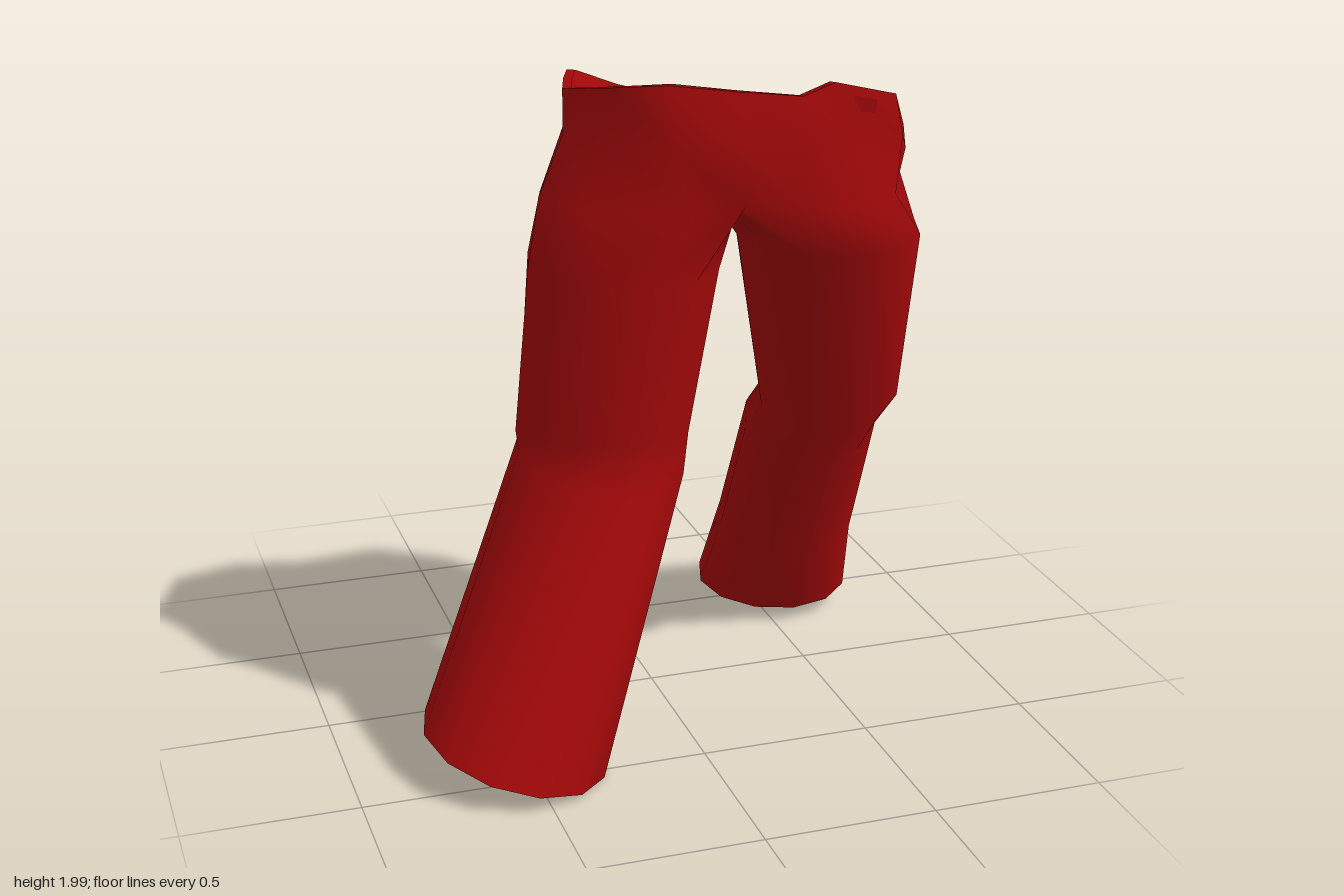
import * as THREE from 'three';
import { mergeVertices } from 'three/addons/utils/BufferGeometryUtils.js';

const red = new THREE.MeshStandardMaterial({ color: 0xa8090a, side: THREE.DoubleSide });
red.name = 'red cloth';

// Twelve-sided leg section; side is +1 for the left leg, -1 for the right.
// outerRise and frontRise tilt it at its outer and front edges;
// skew stretches it along the diagonal where x and z share a sign.
function section(side, [x, y, z], rx, rz, outerRise = 0, frontRise = 0, skew = 0) {
  const ring = [];
  for (let i = 0; i < 12; i++) {
    const a = (i - 4) * Math.PI / 6;
    const c = Math.cos(a), s = -Math.sin(a - side * skew);
    ring.push([x + side * rx * c, y + outerRise * c + frontRise * s, z + rz * s]);
  }
  return ring;
}

// Skins closed rings, listed from top to bottom.
function loft(out, rings, flip = false) {
  for (let r = 0; r + 1 < rings.length; r++) {
    const up = rings[r], low = rings[r + 1], n = up.length;
    for (let i = 0; i < n; i++) {
      const j = (i + 1) % n;
      const tris = [[up[i], low[i], low[j]], [up[i], low[j], up[j]]];
      for (const [a, b, c] of tris) out.push(...a, ...(flip ? [...c, ...b] : [...b, ...c]));
    }
  }
}

// Ring drawn in towards the middle of the waist.
const inset = (ring, k) => ring.map(([x, y, z]) =>
  [0.13 + (x - 0.13) * k, y, 0.27 + (z - 0.27) * k]);

function makeMesh(name, positions) {
  let g = new THREE.BufferGeometry();
  g.setAttribute('position', new THREE.Float32BufferAttribute(positions, 3));
  g = mergeVertices(g, 1e-4);
  g.computeVertexNormals();
  const mesh = new THREE.Mesh(g, red);
  mesh.name = name;
  return mesh;
}

export function createModel() {
  const group = new THREE.Group();
  group.name = 'trousers';

  // Waist rim: front centre, left side, back centre, right side
  const rim = [
    [0.04, 1.963, 0.592], [0.23, 1.935, 0.578], [0.34, 1.955, 0.53], [0.50, 1.92, 0.56],
    [0.655, 1.76, 0.27], [0.56, 1.76, 0.05], [0.33, 1.75, -0.11], [0.12, 1.80, -0.05],
    [-0.10, 1.86, -0.055], [-0.26, 1.93, 0.045], [-0.305, 1.935, 0.17], [-0.35, 1.94, 0.32],
    [-0.26, 1.97, 0.48], [-0.16, 2.00, 0.63],
  ];
  // Lower edge of the waist, in the same order
  const waist = [
    [0.06, 1.83, 0.59], [0.24, 1.81, 0.575], [0.37, 1.82, 0.555], [0.54, 1.80, 0.525],
    [0.65, 1.70, 0.30], [0.575, 1.69, 0.09], [0.345, 1.66, -0.085], [0.13, 1.71, -0.02],
    [-0.10, 1.73, -0.05], [-0.25, 1.80, 0.05], [-0.305, 1.81, 0.17], [-0.35, 1.82, 0.32],
    [-0.265, 1.83, 0.49], [-0.14, 1.83, 0.64],
  ];
  // Hip line
  const hip = [
    [0.08, 1.64, 0.555], [0.25, 1.62, 0.555], [0.40, 1.61, 0.545], [0.55, 1.62, 0.47],
    [0.64, 1.63, 0.29], [0.63, 1.59, 0.11], [0.42, 1.51, -0.055], [0.13, 1.57, 0.03],
    [-0.08, 1.53, -0.045], [-0.265, 1.59, 0.025], [-0.37, 1.62, 0.15], [-0.42, 1.65, 0.32],
    [-0.35, 1.65, 0.505], [-0.08, 1.64, 0.605],
  ];
  // Seam under the body, back to front, shared by both legs
  const crotch = [[0.13, 1.55, 0.12], [0.13, 1.54, 0.22], [0.12, 1.55, 0.34], [0.09, 1.60, 0.46]];

  const cloth = [];
  loft(cloth, [rim, waist, hip]);

  // Left leg, swung back
  loft(cloth, [
    [...hip.slice(0, 8), ...crotch],
    section(1, [0.435, 1.48, 0.26], 0.268, 0.248, 0, -0.02),
    section(1, [0.537, 0.92, 0.07], 0.228, 0.137, 0, -0.09, -0.2),
    section(1, [0.54, 0.79, -0.085], 0.225, 0.137, 0, -0.135, -0.2),
    section(1, [0.55, 0.36, -0.315], 0.215, 0.185, 0, -0.065),
    section(1, [0.565, 0.08, -0.47], 0.235, 0.218, 0.01, -0.03, 0.12),
  ]);

  // Right leg, set out to the side
  loft(cloth, [
    [hip[0], ...hip.slice(8).reverse(), hip[7], ...crotch],
    section(-1, [-0.182, 1.45, 0.305], 0.26, 0.275, 0, 0, 0.08),
    section(-1, [-0.248, 0.985, 0.33], 0.241, 0.185, 0, 0, 0.2),
    section(-1, [-0.235, 0.885, 0.27], 0.235, 0.205, 0.015, -0.06, 0.1),
    section(-1, [-0.54, 0.08, 0.405], 0.26, 0.28, 0.07, -0.025),
  ], true);
  group.add(makeMesh('trouserCloth', cloth));

  // Folded edge and inner band of the waist
  const band = [];
  loft(band, [inset(waist, 0.9), inset(rim, 0.945), rim]);
  group.add(makeMesh('waistband', band));

  return group;
}
